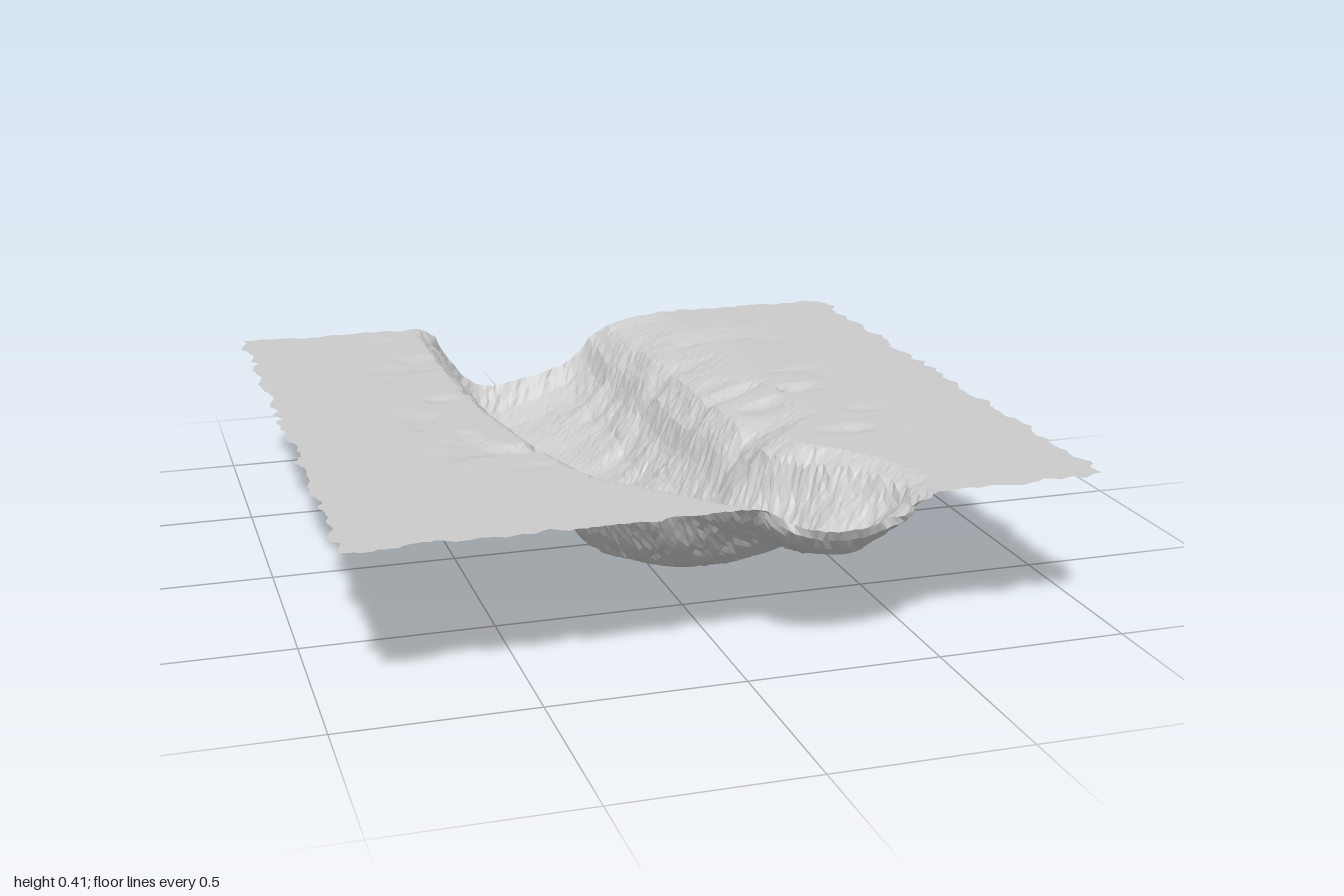
import * as THREE from 'three';

const TOP = 0.42, HALF = 0.95, CELLS = 130;

// Gorge stations: z, left rim x, floor x, right rim x, floor y, right-wall steepness
const stations = [
  [-0.95, -0.40, -0.15, 0.38, 0.20, 0], [-0.91, -0.41, -0.15, 0.40, 0.13, 0],
  [-0.85, -0.42, -0.15, 0.41, 0.09, 0], [-0.70, -0.42, -0.15, 0.43, 0.07, 0],
  [-0.60, -0.42, -0.14, 0.44, 0.05, 0], [-0.40, -0.42, -0.14, 0.45, 0.03, 0],
  [-0.20, -0.41, -0.14, 0.45, 0.005, 0], [-0.10, -0.41, -0.14, 0.45, 0.05, 0],
  [0.00, -0.40, -0.13, 0.45, 0.085, 0], [0.08, -0.39, -0.12, 0.45, 0.08, 0],
  [0.15, -0.38, -0.11, 0.44, 0.055, 0], [0.30, -0.36, -0.08, 0.40, 0.07, 0.3],
  [0.40, -0.33, -0.04, 0.31, 0.09, 0.8], [0.50, -0.31, 0.01, 0.32, 0.11, 1],
  [0.60, -0.27, 0.08, 0.42, 0.15, 1], [0.67, -0.22, 0.14, 0.46, 0.195, 1],
  [0.73, -0.16, 0.20, 0.49, 0.25, 1], [0.85, -0.06, 0.26, 0.52, 0.25, 1],
  [0.91, -0.01, 0.25, 0.51, 0.28, 1], [0.95, 0.03, 0.23, 0.50, 0.36, 1],
];
// Wall profiles: [distance from floor to rim, rise], both 0..1
const steepWall = [[0, 0], [0.22, 0.05], [0.43, 0.24], [0.68, 0.58], [0.8, 0.86], [1, 1]];
const terracedWall = [[0, 0], [0.24, 0.13], [0.41, 0.28], [0.53, 0.5], [0.58, 0.69], [0.68, 0.87], [0.92, 0.98], [1, 1]];

const { lerp, clamp, smoothstep } = THREE.MathUtils;

// Linear lookup in a table sorted by its first column
function sample(table, t) {
  let i = 1;
  while (i < table.length - 1 && table[i][0] < t) i++;
  const a = table[i - 1], b = table[i];
  const f = clamp((t - a[0]) / (b[0] - a[0]), 0, 1);
  return a.map((v, k) => lerp(v, b[k], f));
}

// Repeatable value noise in -1..1
function hash(x, y) {
  const s = Math.sin(x * 127.1 + y * 311.7) * 43758.5453;
  return (s - Math.floor(s)) * 2 - 1;
}
function noise(x, y) {
  const i = Math.floor(x), j = Math.floor(y);
  const u = smoothstep(x - i, 0, 1), v = smoothstep(y - j, 0, 1);
  return lerp(lerp(hash(i, j), hash(i + 1, j), u), lerp(hash(i, j + 1), hash(i + 1, j + 1), u), v);
}

function groundHeight(x, z) {
  const [, left, floorX, right, floorY, steep] = sample(stations, z);
  const onLeft = x < floorX;
  const d = Math.min(1, (x - floorX) / ((onLeft ? left : right) - floorX));
  const steepRise = sample(steepWall, d)[1];
  const rise = onLeft ? steepRise : lerp(sample(terracedWall, d)[1], steepRise, steep);
  // Eroded walls, and shallow hollows on the plateau beside the gorge
  const rough = noise(x * 9, z * 16) * 0.022 * Math.sin(Math.PI * rise);
  const beside = smoothstep(0.68 - Math.abs(x), 0, 0.22) * smoothstep(0.55 - z, 0, 0.25) * smoothstep(z, -0.9, -0.7);
  const hollow = Math.max(0, noise(x * 8 + 20, z * 12)) * 0.025 * beside * rise;
  return clamp(lerp(floorY, TOP, rise) + rough - hollow, 0, TOP);
}

function createTerrain() {
  const geo = new THREE.PlaneGeometry(2 * HALF, 2 * HALF, CELLS, CELLS).rotateX(-Math.PI / 2);
  const pos = geo.attributes.position;
  for (let i = 0; i < pos.count; i++) {
    const x0 = pos.getX(i), z0 = pos.getZ(i);
    const y = groundHeight(x0, z0);
    const depth = TOP - y;
    let x = x0 + hash(i, 1) * 0.004, z = z0 + hash(i, 2) * 0.004;
    // Ragged outer border
    x += Math.sign(x0) * noise(z0 * 28, 5) * 0.016 * smoothstep(Math.abs(x0), 0.9, HALF);
    z += Math.sign(z0) * noise(x0 * 28, 9) * 0.014 * smoothstep(Math.abs(z0), 0.9, HALF) * (depth > 0.05 ? 0.3 : 1);
    // Gorge mouths bulge past the border
    z -= 0.05 * smoothstep(-z0, 0.78, HALF) * Math.min(1, depth / 0.2);
    z += 0.05 * smoothstep(z0, 0.85, HALF) * Math.min(1, depth / 0.06);
    pos.setXYZ(i, x, y, clamp(z, -1, 1));
  }
  geo.computeVertexNormals();
  return geo;
}

export function createModel() {
  const group = new THREE.Group();
  group.name = 'canyonTerrain';
  const material = new THREE.MeshStandardMaterial({ color: 0xcccccc, flatShading: true, side: THREE.DoubleSide });
  const terrain = new THREE.Mesh(createTerrain(), material);
  terrain.name = 'groundWithGorge';
  group.add(terrain);
  return group;
}
